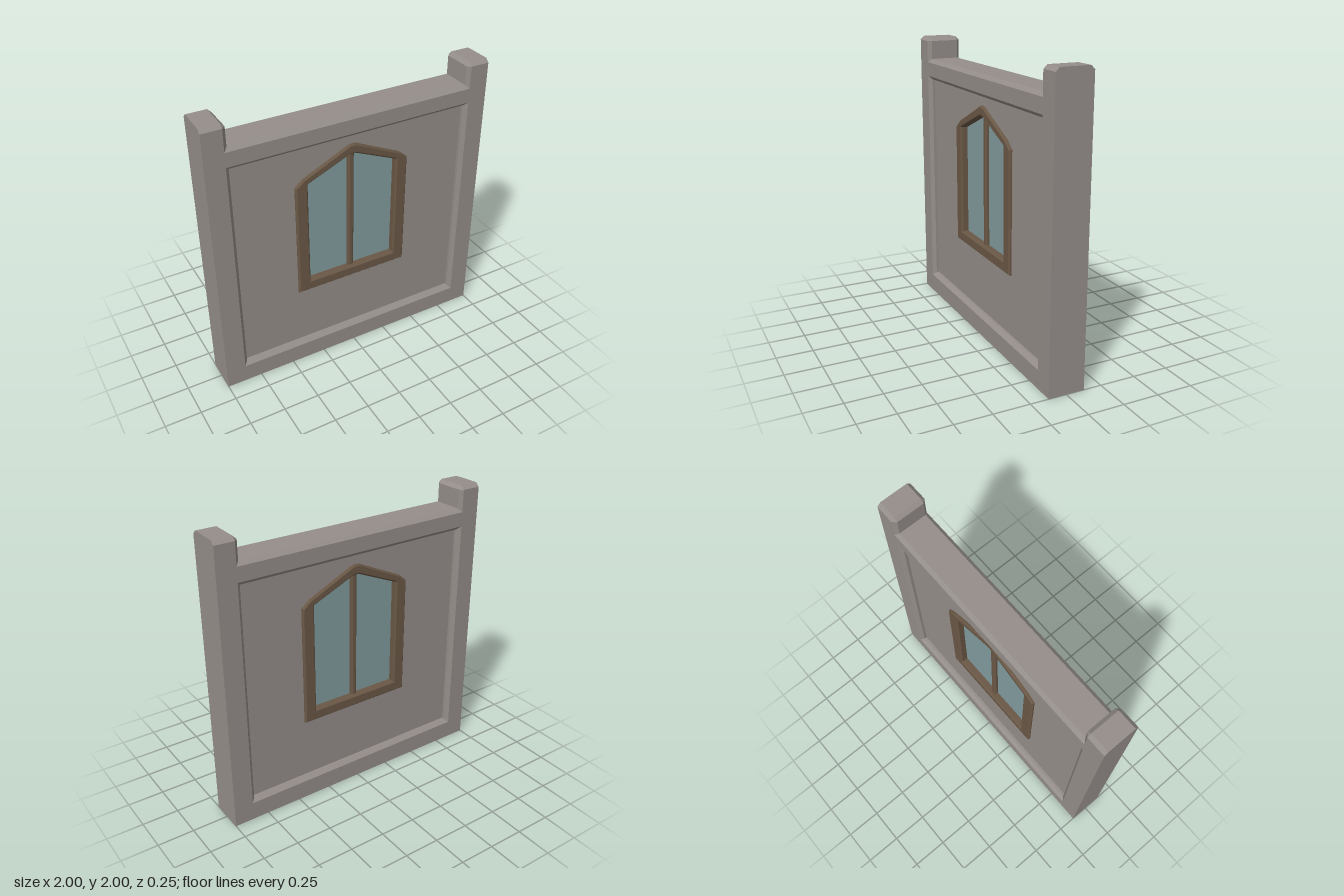
import * as THREE from 'three';

const material = (color) => new THREE.MeshStandardMaterial({ color, flatShading: true });

// Closed counter-clockwise ring from its right half, listed bottom to top
const ring = (half) => [...half, ...half.map(([x, y]) => [-x, y]).reverse()];
const rect = (x, y0, y1) => ring([[x, y0], [x, y1]]);

// Flat front-facing surface at depth z, with an optional hole
function face(outline, z, hole) {
  const toVectors = (points) => points.map(([x, y]) => new THREE.Vector2(x, y));
  const shape = new THREE.Shape(toVectors(outline));
  if (hole) shape.holes.push(new THREE.Path(toVectors(hole)));
  return new THREE.ShapeGeometry(shape).translate(0, 0, z);
}

// Strip of quads from a front ring back to a rear ring; inward turns it to face the middle
function band(front, zFront, rear, zRear, inward = false) {
  const positions = [];
  for (let i = 0; i < front.length; i++) {
    const j = (i + 1) % front.length;
    const a = [...rear[i], zRear], b = [...rear[j], zRear];
    const c = [...front[j], zFront], d = [...front[i], zFront];
    const corners = inward ? [a, c, b, a, d, c] : [a, b, c, a, c, d];
    positions.push(...corners.flat());
  }
  const geometry = new THREE.BufferGeometry();
  geometry.setAttribute('position', new THREE.Float32BufferAttribute(positions, 3));
  geometry.computeVertexNormals();
  return geometry;
}

function part(name, mat, geometries) {
  const group = new THREE.Group();
  group.name = name;
  geometries.forEach((geometry, i) => {
    const mesh = new THREE.Mesh(geometry, mat);
    mesh.name = `${name}Surface${i + 1}`;
    group.add(mesh);
  });
  return group;
}

// One half of the wall, from the middle plane to the front
function createSide(name, stone, wood, glass) {
  const side = new THREE.Group();
  side.name = name;

  // Wall outline with raised end posts, and its chamfered front edge
  const core = ring([[1, 0], [1, 2], [0.865, 2], [0.84, 1.975], [0.84, 1.845]]);
  const front = ring([[1, 0], [1, 1.975], [0.865, 1.975], [0.865, 1.975], [0.865, 1.82]]);
  // Recess edges
  const recessFront = rect(0.865, 0.13, 1.72);
  const recess = rect(0.84, 0.155, 1.695);
  // Window frame rings, from the outside in
  const frameOuter = ring([[0.415, 0.58], [0.415, 1.42], [0.355, 1.47], [0.02, 1.627]]);
  const frameFront = ring([[0.405, 0.59], [0.405, 1.415], [0.35, 1.46], [0.02, 1.616]]);
  const frameLip = ring([[0.337, 0.648], [0.337, 1.432], [0.02, 1.568]]);
  const opening = ring([[0.327, 0.658], [0.327, 1.425], [0.02, 1.557]]);

  side.add(part('stoneWall', stone, [
    face(front, 0.125, recessFront),
    band(front, 0.125, core, 0.1),
    band(core, 0.1, core, 0),
  ]));
  side.add(part('recessedPanel', stone, [
    band(recessFront, 0.125, recess, 0.1, true),
    band(recess, 0.1, recess, 0.08, true),
    face(recess, 0.08, frameOuter),
  ]));
  side.add(part('windowFrame', wood, [
    band(frameOuter, 0.09, frameOuter, 0.08),
    band(frameFront, 0.1, frameOuter, 0.09),
    face(frameFront, 0.1, frameLip),
    band(frameLip, 0.1, opening, 0.09, true),
    band(opening, 0.09, opening, 0.05, true),
  ]));
  side.add(part('windowGlass', glass, [face(opening, 0.05)]));

  // Chamfered centre bar, its section extruded upwards
  const section = new THREE.Shape([[-0.022, -0.045], [-0.022, -0.065], [-0.012, -0.075],
    [0.012, -0.075], [0.022, -0.065], [0.022, -0.045]].map(([x, y]) => new THREE.Vector2(x, y)));
  const bar = new THREE.ExtrudeGeometry(section, { depth: 0.9, bevelEnabled: false })
    .rotateX(-Math.PI / 2).translate(0, 0.656, 0);
  side.add(part('centreBar', wood, [bar]));
  return side;
}

export function createModel() {
  const model = new THREE.Group();
  model.name = 'wallWithWindow';
  const stone = material(0x958e8a), wood = material(0x6a5846), glass = material(0x829b9d);
  const frontSide = createSide('frontSide', stone, wood, glass);
  const backSide = createSide('backSide', stone, wood, glass);
  backSide.rotation.y = Math.PI;
  model.add(frontSide, backSide);
  return model;
}
